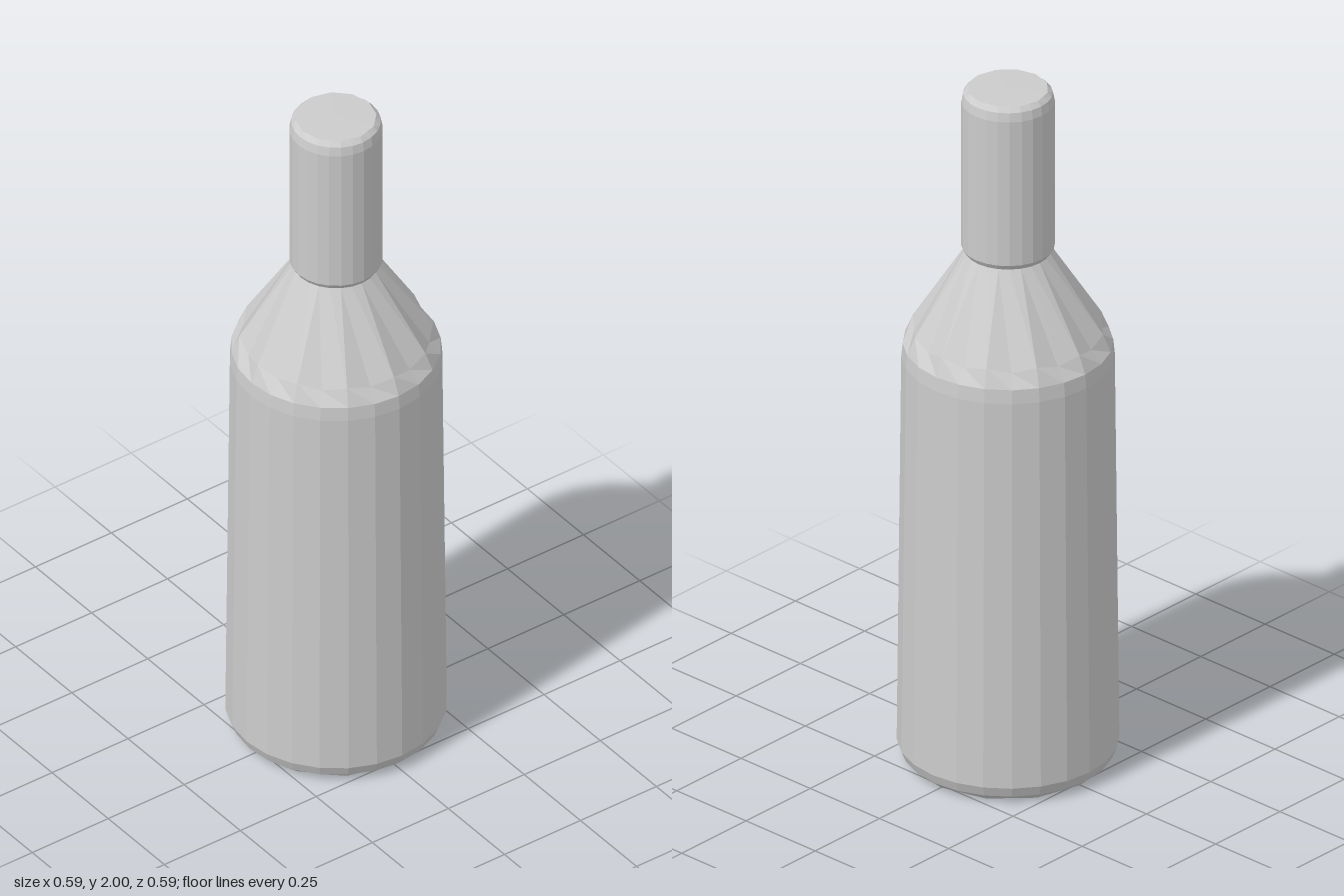
import * as THREE from 'three';

const SIDES = 24;

// Lathe whose listed rings are coarsened to half the sides: odd corners sit on
// the chord between their neighbours, and may be lowered by a small drop.
function facetedLathe(profile, coarse) {
  const points = profile.map(([r, y]) => new THREE.Vector2(r, y));
  const geometry = new THREE.LatheGeometry(points, SIDES);
  const position = geometry.attributes.position;
  const chord = Math.cos((2 * Math.PI) / SIDES);
  for (let column = 1; column < SIDES; column += 2) {
    for (const [ring, drop] of coarse) {
      const i = column * profile.length + ring;
      position.setXYZ(i, position.getX(i) * chord, position.getY(i) - drop, position.getZ(i) * chord);
    }
  }
  geometry.computeVertexNormals();
  return geometry;
}

export function createModel() {
  const group = new THREE.Group();
  group.name = 'bottle';
  const material = new THREE.MeshStandardMaterial({ color: 0xcccccc, flatShading: true });

  const add = (name, profile, coarse) => {
    const mesh = new THREE.Mesh(facetedLathe(profile, coarse), material);
    mesh.name = name;
    group.add(mesh);
  };

  // Body: chamfered base, slightly tapering wall, rounded shoulder and cone
  add('body', [
    [0, 0.004], [0.26, 0.004], [0.283, 0.025], [0.295, 0.055],
    [0.283, 1.2], [0.279, 1.24], [0.258, 1.29], [0.115, 1.515],
  ], [[1, 0], [6, 0.015]]);

  // Neck: straight tube with a softened, closed top
  add('neck', [
    [0.113, 1.512], [0.124, 1.53], [0.124, 1.96], [0.119, 1.985], [0.108, 1.998], [0, 2],
  ], [[4, 0]]);

  return group;
}
